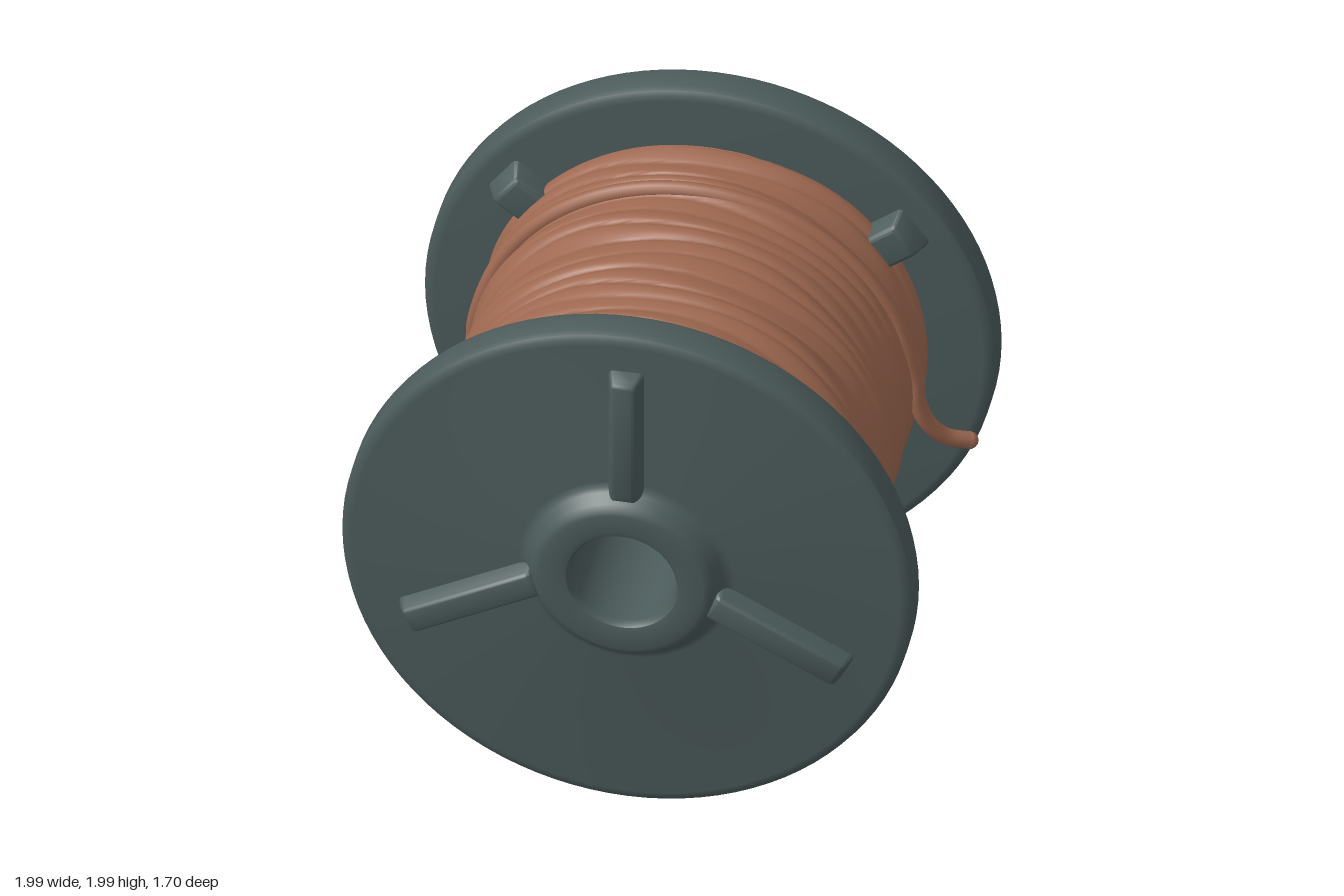
import * as THREE from 'three';
import { mergeVertices, toCreasedNormals } from 'three/addons/utils/BufferGeometryUtils.js';
import { RoundedBoxGeometry } from 'three/addons/geometries/RoundedBoxGeometry.js';

const CENTER_Y = 1;
const COIL_R = 0.752;

// Drops normals and uvs, so that coincident corners join and shade smoothly
function weld(geo) {
  geo.deleteAttribute('normal');
  geo.deleteAttribute('uv');
  const welded = mergeVertices(geo, 1e-4);
  welded.computeVertexNormals();
  return welded;
}

// Rounded bar along x that narrows towards +z
function taperedBar(length, width, height, topWidth, endSlope) {
  const geo = new RoundedBoxGeometry(length, width, height, 3, 0.022);
  const p = geo.attributes.position;
  for (let i = 0; i < p.count; i++) {
    const t = p.getZ(i) / height + 0.5;
    p.setX(i, p.getX(i) * (1 - (t * 2 * endSlope) / length));
    p.setY(i, p.getY(i) * (1 - t * (1 - topWidth / width)));
  }
  return toCreasedNormals(weld(geo), 0.6);
}

// Flange disc, raised hub and half of the bore, turned around z
function flangeGeometry() {
  const profile = [
    [0.185, 0.62], [0.955, 0.62], [0.975, 0.624], [0.99, 0.635], [0.997, 0.655],
    [0.997, 0.735], [0.99, 0.755], [0.975, 0.766], [0.955, 0.77],
    [0.375, 0.77], [0.355, 0.775], [0.342, 0.787], [0.318, 0.825], [0.305, 0.84],
    [0.285, 0.848], [0.215, 0.848], [0.196, 0.843], [0.187, 0.83], [0.185, 0.81], [0.185, 0],
  ].map(([r, z]) => new THREE.Vector2(r, z));
  const geo = new THREE.LatheGeometry(profile, 96);
  geo.rotateX(Math.PI / 2);
  return toCreasedNormals(weld(geo), 0.6);
}

// Wound wire: a cylinder swelled into slightly uneven spiral turns
function coilGeometry() {
  const geo = new THREE.CylinderGeometry(1, 1, 1.25, 112, 180, true);
  geo.rotateX(Math.PI / 2);
  const p = geo.attributes.position;
  for (let i = 0; i < p.count; i++) {
    const z = p.getZ(i);
    const a = Math.atan2(p.getY(i), p.getX(i));
    const u = z * 13 + a / (2 * Math.PI) + 0.22 * Math.sin(2 * a + z * 9) + 0.12 * Math.sin(5 * a - z * 17);
    const height = 0.014 + 0.006 * Math.sin(z * 23 + 3 * a);
    const r = COIL_R + height * Math.sqrt(Math.abs(Math.sin(Math.PI * u)))
      + 0.004 * Math.sin(z * 31 + a) + 0.008 * Math.max(0, Math.abs(z) - 0.5) / 0.12;
    p.setXY(i, Math.cos(a) * r, Math.sin(a) * r);
  }
  return weld(geo);
}

export function createModel() {
  const model = new THREE.Group();
  model.name = 'wireSpool';
  const plastic = new THREE.MeshStandardMaterial({ name: 'slate plastic', color: 0x4b5a5a });
  const copper = new THREE.MeshStandardMaterial({ name: 'copper wire', color: 0x9e6850 });

  const spool = new THREE.Group();
  spool.name = 'spool';
  spool.position.y = CENTER_Y;
  model.add(spool);

  const add = (parent, name, geo, mat) => {
    const mesh = new THREE.Mesh(geo, mat);
    mesh.name = name;
    parent.add(mesh);
    return mesh;
  };

  const flange = flangeGeometry();
  const upperRib = taperedBar(0.57, 0.16, 0.13, 0.085, 0.035);
  const lowerRib = taperedBar(0.57, 0.165, 0.13, 0.095, 0.035);
  const lug = taperedBar(0.3, 0.19, 0.13, 0.13, 0.05);

  for (const side of [1, -1]) {
    const end = new THREE.Group();
    end.name = side > 0 ? 'frontEnd' : 'backEnd';
    if (side < 0) end.rotation.y = Math.PI;
    spool.add(end);
    add(end, 'flange', flange, plastic);

    // Three raised ribs on the outer face
    const rib = add(end, 'upperRib', upperRib, plastic);
    rib.position.set(0, 0.585, 0.772);
    rib.rotation.z = Math.PI / 2;
    for (const s of [1, -1]) {
      const low = add(end, 'lowerRib', lowerRib, plastic);
      low.position.set(s * 0.53, -0.185, 0.772);
      low.rotation.z = s > 0 ? -0.48 : Math.PI + 0.48;

      // Lugs on the inner face that hold the winding
      for (const degrees of [37, -53]) {
        const a = THREE.MathUtils.degToRad(degrees);
        const holder = new THREE.Group();
        holder.name = 'lugHolder';
        holder.rotation.z = s > 0 ? a : Math.PI - a;
        const block = add(holder, 'lug', lug, plastic);
        block.position.set(0.775, 0, 0.605);
        block.rotation.x = Math.PI;
        end.add(holder);
      }
    }
  }

  // Winding
  add(spool, 'wireCoil', coilGeometry(), copper);

  // Loose strand over the top, with both ends bending away
  const tail = [
    [0.768, 0.06, -0.395], [0.775, -0.04, -0.4], [0.8, -0.13, -0.415],
    [0.86, -0.215, -0.45], [0.935, -0.255, -0.495],
  ].map((c) => new THREE.Vector3(...c));
  const path = tail.slice().reverse();
  for (let i = 1; i < 16; i++) {
    const a = 0.08 + (i / 16) * (Math.PI - 0.16);
    path.push(new THREE.Vector3(Math.cos(a) * 0.762, Math.sin(a) * 0.762, -0.38));
  }
  path.push(...tail.map((v) => new THREE.Vector3(-v.x, v.y, v.z)));
  const curve = new THREE.CatmullRomCurve3(path);
  add(spool, 'looseStrand', new THREE.TubeGeometry(curve, 140, 0.03, 12), copper);
  for (const tip of [path[0], path[path.length - 1]]) {
    add(spool, 'strandTip', new THREE.SphereGeometry(0.031, 14, 10), copper).position.copy(tip);
  }

  return model;
}
